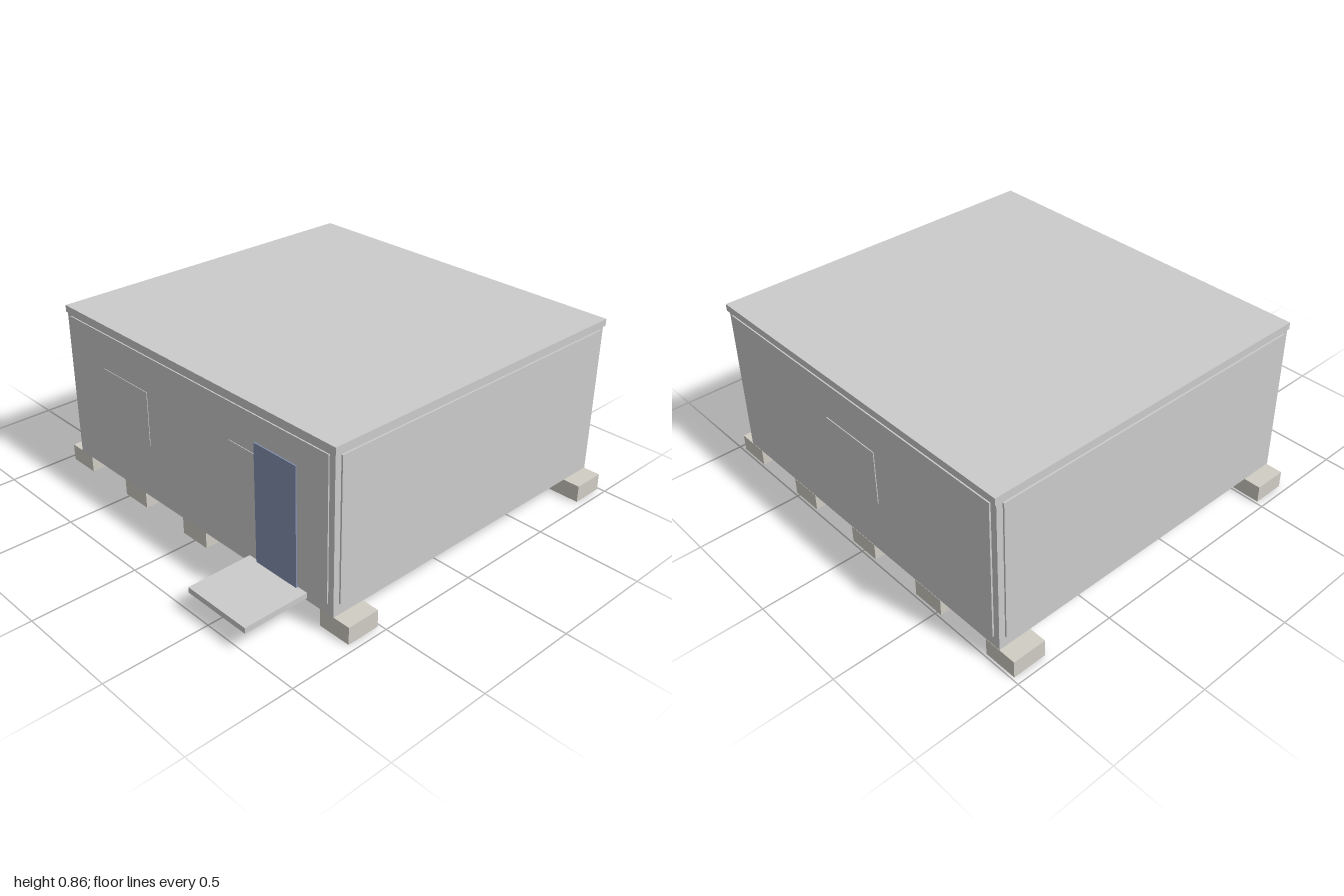
import * as THREE from 'three';

const mat = (color) => new THREE.MeshStandardMaterial({ color, flatShading: true });

export function createModel() {
  const model = new THREE.Group();
  const grey = mat(0xcccccc), concrete = mat(0xd0cdc4), timber = mat(0xb5a48e), blue = mat(0x8290b0);

  // Box given by its lower and upper corner
  function box(name, [x0, y0, z0], [x1, y1, z1], material = grey) {
    const mesh = new THREE.Mesh(new THREE.BoxGeometry(x1 - x0, y1 - y0, z1 - z0), material);
    mesh.position.set((x0 + x1) / 2, (y0 + y1) / 2, (z0 + z1) / 2);
    mesh.name = name;
    model.add(mesh);
    return mesh;
  }

  const X = 0.882, ZF = 0.678, ZB = -0.988; // outer faces of the frame
  const T = 0.03;                           // width of frame members
  const Y0 = 0.083, Y1 = 0.138, Y2 = 0.811, Y3 = 0.822;

  // Foundation pads in two rows of five
  for (let i = -2; i <= 2; i++) {
    const x = i * 0.442;
    box('foundationPad', [x - 0.081, 0, 0.513], [x + 0.081, 0.083, 0.675], concrete);
    box('foundationPad', [x - 0.081, 0, -0.988], [x + 0.081, 0.083, -0.826], concrete);
  }

  // Floor of three plates with narrow joints
  const plate = (2 * X - 0.02) / 3;
  for (let i = -1; i <= 1; i++) {
    const x = i * plate;
    box('floorPlate', [x - plate / 2 + 0.002, Y0, ZB + 0.01], [x + plate / 2 - 0.002, Y0 + 0.02, ZF - 0.01], timber);
  }

  // Frame: base beams, top beams and corner posts
  for (const [name, a, b] of [['baseBeam', Y0 + 0.002, Y1], ['topBeam', Y2, Y3]]) {
    box(name, [-X, a, ZF - T], [X, b, ZF]);
    box(name, [-X, a, ZB], [X, b, ZB + T]);
    for (const s of [-1, 1]) {
      const xs = [s * X, s * (X - T)].sort((p, q) => p - q);
      box(name, [xs[0], a, ZB + T], [xs[1], b, ZF - T]);
    }
  }
  for (const x of [-X, X - T]) {
    box('cornerPost', [x, Y1, ZF - T], [x + T, Y2, ZF]);
    box('cornerPost', [x, Y1, ZB], [x + T, Y2, ZB + T]);
  }

  // Wall panels standing slightly proud of the frame
  const P = X - T;
  box('frontWall', [-P, Y1, ZF - T], [P, Y2, ZF + 0.006]);
  box('backWall', [-P, Y1, ZB - 0.008], [P, Y2, ZB + T]);
  box('leftWall', [P, Y1, ZB + T], [0.89, Y2, ZF - T]);
  box('rightWall', [-0.89, Y1, ZB + T], [-P, Y2, ZF - T]);

  // Roof slab
  box('roof', [-0.888, Y3, -0.998], [0.888, 0.855, 0.683]);

  // Windows, two in front and one behind
  for (const x of [-0.44, 0.44]) box('window', [x - 0.16, 0.37, ZF], [x + 0.16, 0.635, 0.687]);
  box('window', [-0.16, 0.37, -1], [0.16, 0.635, ZB]);

  // Door and its landing
  box('door', [0.437, 0.123, ZF - 0.01], [0.68, 0.69, 0.69], blue);
  box('landing', [0.382, 0.095, ZF], [0.731, 0.122, 1]);

  return model;
}
